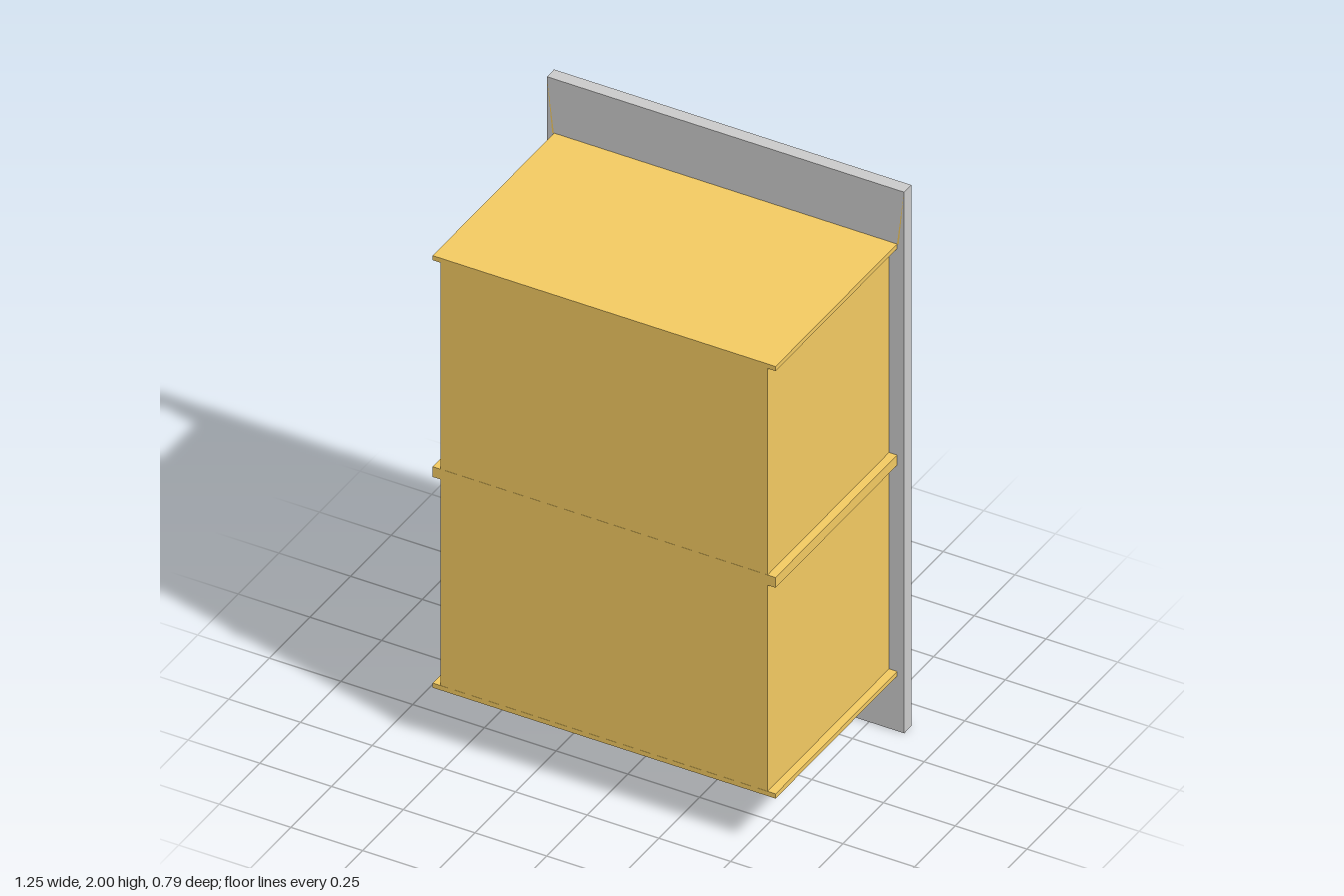
import * as THREE from 'three';

export function createModel() {
  const group = new THREE.Group();
  const grey = new THREE.MeshStandardMaterial({ color: 0xcccccc });
  const tan = new THREE.MeshStandardMaterial({ color: 0xf4cb62, side: THREE.DoubleSide });

  // Box given by its half width and its y and z ranges
  function slab(name, halfWidth, y0, y1, z0, z1, material) {
    const mesh = new THREE.Mesh(new THREE.BoxGeometry(halfWidth * 2, y1 - y0, z1 - z0), material);
    mesh.position.set(0, (y0 + y1) / 2, (z0 + z1) / 2);
    mesh.name = name;
    group.add(mesh);
  }

  const panelFront = -0.352;
  const front = 0.396;

  // Mounting panel and the body in front of it
  slab('backPanel', 0.623, 0, 2, -0.396, panelFront, grey);
  slab('body', 0.57, 0.21, 1.79, panelFront, front - 0.0005, tan);

  // Flanges that stick out past the sides of the body
  slab('bottomFlange', 0.598, 0.203, 0.22, panelFront, front, tan);
  slab('middleFlange', 0.598, 0.982, 1.02, panelFront, front, tan);
  slab('topFlange', 0.598, 1.783, 1.8, panelFront, front, tan);

  // Thin stays from the panel's top corners to the top flange
  for (const side of [-1, 1]) {
    const outline = new THREE.Shape([
      new THREE.Vector2(side * 0.622, 1.995),
      new THREE.Vector2(side * 0.598, 1.8),
      new THREE.Vector2(side * 0.604, 1.8),
    ]);
    const stay = new THREE.Mesh(new THREE.ShapeGeometry(outline), tan);
    stay.position.z = panelFront + 0.001;
    stay.name = side > 0 ? 'leftStay' : 'rightStay';
    group.add(stay);
  }

  return group;
}
